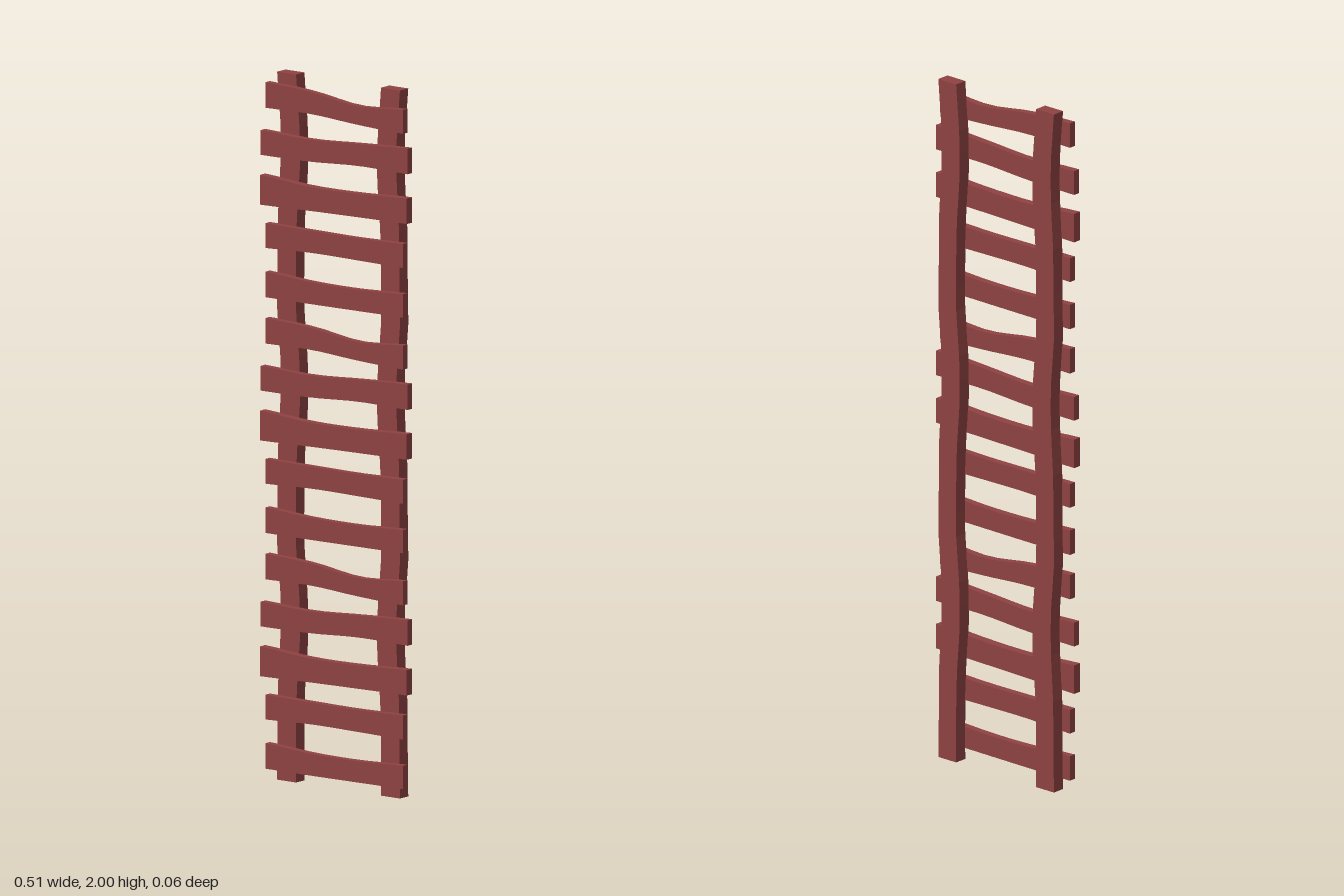
import * as THREE from 'three';

const wood = new THREE.MeshStandardMaterial({ color: 0x8f4242, flatShading: true });

// Smooth curve through evenly spaced values, t from 0 to 1
function sampler(values) {
  const curve = new THREE.SplineCurve(values.map((v, i) => new THREE.Vector2(i, v)));
  return (t) => curve.getPoint(t).y;
}

// Wavy plank lying along x: centre and half-height follow their own curves
function plank(length, depth, centres, halves, segments) {
  const geo = new THREE.BoxGeometry(length, 2, depth, segments, 1, 1);
  const centre = sampler(centres), half = sampler(halves);
  const p = geo.attributes.position;
  for (let i = 0; i < p.count; i++) {
    const t = THREE.MathUtils.clamp(p.getX(i) / length + 0.5, 0, 1);
    p.setY(i, centre(t) + p.getY(i) * half(t));
  }
  geo.computeVertexNormals();
  return geo;
}

export function createModel() {
  const group = new THREE.Group();
  const sections = 3, pitch = 0.666;

  // Side rails: upright planks that bow inwards once per section
  const bow = [], railHalf = [];
  for (let s = 0; s < sections; s++) {
    bow.push(0, 0.001, 0.003, 0.012, 0.011);
    railHalf.push(0.033, 0.032, 0.033, 0.034, 0.033);
  }
  bow.push(0);
  railHalf.push(0.033);
  for (const side of [-1, 1]) {
    const geo = plank(2, 0.038, bow.map((b) => side * (0.181 - b)), railHalf, 30);
    // Turn the length upright: (x, y) -> (-y, x)
    geo.rotateZ(Math.PI / 2);
    geo.scale(1, 1, 1);
    const rail = new THREE.Mesh(geo, wood);
    rail.name = side > 0 ? 'rightSideRail' : 'leftSideRail';
    rail.name = side > 0 ? 'rightRail' : 'leftRail';
    rail.position.set(0, 1, -0.013);
    group.add(rail);
  }

  // Five hand-cut rung shapes, repeated in every section
  const rungs = [
    { w: 0.48, d: 0.021, c: [0.067, 0.062, 0.062, 0.066], h: [0.036, 0.031, 0.030, 0.033] },
    { w: 0.48, d: 0.021, c: [0.205, 0.207, 0.206, 0.207], h: [0.035, 0.031, 0.031, 0.034] },
    { w: 0.512, d: 0.025, c: [0.333, 0.329, 0.331, 0.336], h: [0.042, 0.034, 0.033, 0.036] },
    { w: 0.512, d: 0.021, c: [0.466, 0.464, 0.473, 0.476], h: [0.035, 0.031, 0.031, 0.036] },
    { w: 0.48, d: 0.021, c: [0.602, 0.599, 0.584, 0.586], h: [0.036, 0.031, 0.026, 0.034] },
  ];
  rungs.forEach((r, i) => {
    const geo = plank(r.w, r.d, r.c, r.h, 10);
    for (let s = 0; s < sections; s++) {
      const rung = new THREE.Mesh(geo, wood);
      rung.name = `rung${s * rungs.length + i + 1}`;
      rung.position.set(0, s * pitch, 0.005 + r.d / 2);
      group.add(rung);
    }
  });
  return group;
}
